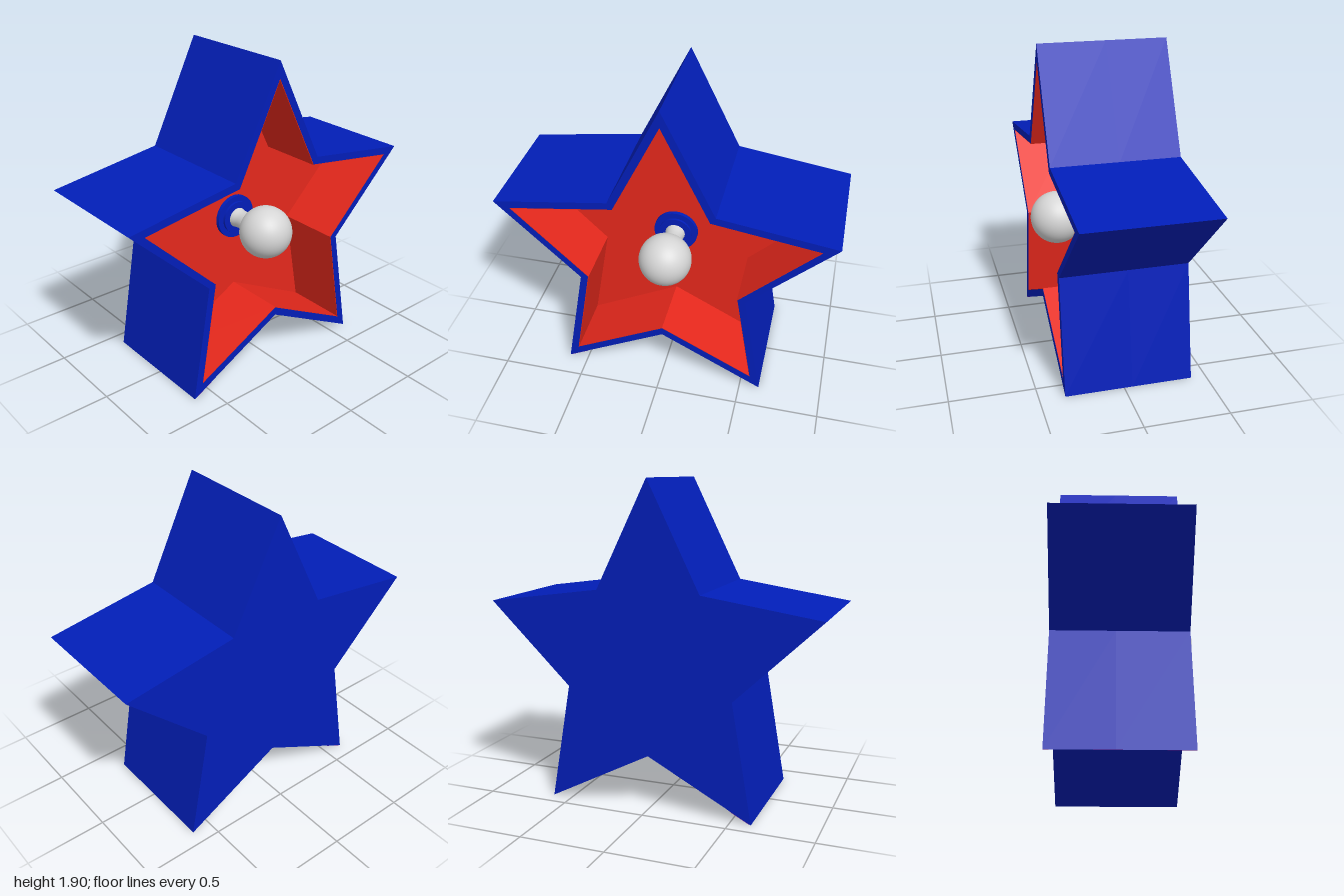
import * as THREE from 'three';

const CENTER_Y = 0.855;
const BACK = -0.41, FLOOR = -0.05, FRONT = 0.35;

// Right half of each star, from the top point down to the bottom notch
const OUTER = [[0, 1.905], [0.31, 1.28], [1, 1.18], [0.5, 0.7], [0.62, 0.005], [0, 0.33]];
const INNER = [[0, 1.805], [0.28, 1.24], [0.905, 1.148], [0.455, 0.71], [0.56, 0.088], [0, 0.38]];

function starPoints(half, scale = 1) {
  const left = half.slice(1, -1).reverse().map(([x, y]) => [-x, y]);
  return [...half, ...left].map(([x, y]) =>
    new THREE.Vector2(x * scale, CENTER_Y + (y - CENTER_Y) * scale));
}

// Extruded star between two depths, optionally with a star-shaped hole.
// The hole runs the opposite way round so its walls face inward.
function starPrism(points, hole, z0, z1) {
  const shape = new THREE.Shape(points);
  if (hole) shape.holes.push(new THREE.Path([...hole].reverse()));
  const geometry = new THREE.ExtrudeGeometry(shape, { depth: z1 - z0, bevelEnabled: false });
  return geometry.translate(0, 0, z0);
}

export function createModel() {
  const makeMaterial = (name, color) => {
    const material = new THREE.MeshStandardMaterial({ color });
    material.name = name;
    return material;
  };
  const blue = makeMaterial('blue', 0x021eb8);
  const red = makeMaterial('red', 0xe6281c);
  const white = makeMaterial('pale grey', 0xd6d6d6);
  const purple = makeMaterial('purple', 0x5c1498);

  const model = new THREE.Group();
  model.name = 'starKnob';
  const add = (name, geometry, material, parent = model) => {
    const mesh = new THREE.Mesh(geometry, material);
    mesh.name = name;
    parent.add(mesh);
    return mesh;
  };

  // Star housing: solid back and hollow front
  const outer = starPoints(OUTER), inner = starPoints(INNER);
  add('backBlock', starPrism(outer, null, BACK, FLOOR), blue);
  add('frontRim', starPrism(outer, inner, FLOOR, FRONT), blue);

  // Red lining of the recess
  add('recessWalls', starPrism(inner, starPoints(INNER, 0.992), FLOOR, FRONT - 0.001), red);
  add('recessFloor', starPrism(inner, null, FLOOR, FLOOR + 0.005), red);

  // Purple patch under the tip of the right foot
  const patch = add('footPatch', new THREE.BoxGeometry(0.13, 0.004, FRONT - BACK - 0.002), purple);
  patch.position.set(-0.553, 0.039, (FRONT + BACK) / 2);
  patch.rotation.z = Math.atan2(0.325, 0.62);

  // Knob in the middle of the recess
  const knob = new THREE.Group();
  knob.name = 'knob';
  knob.position.set(0, CENTER_Y, 0);
  model.add(knob);

  // Stepped collar around the foot of the stem
  for (const [radius, height] of [[0.135, 0.03], [0.1, 0.045]]) {
    const disc = new THREE.CylinderGeometry(radius, radius, height, 40).rotateX(Math.PI / 2);
    add('collar', disc, blue, knob).position.z = FLOOR + height / 2;
  }

  const neck = new THREE.SplineCurve([[0.07, -0.05], [0.06, 0.0], [0.055, 0.05], [0.07, 0.13]]
    .map(([r, h]) => new THREE.Vector2(r, h)));
  add('stem', new THREE.LatheGeometry(neck.getPoints(12), 32).rotateX(Math.PI / 2), white, knob);
  add('ball', new THREE.SphereGeometry(0.157, 40, 28), white, knob).position.z = 0.253;

  return model;
}
